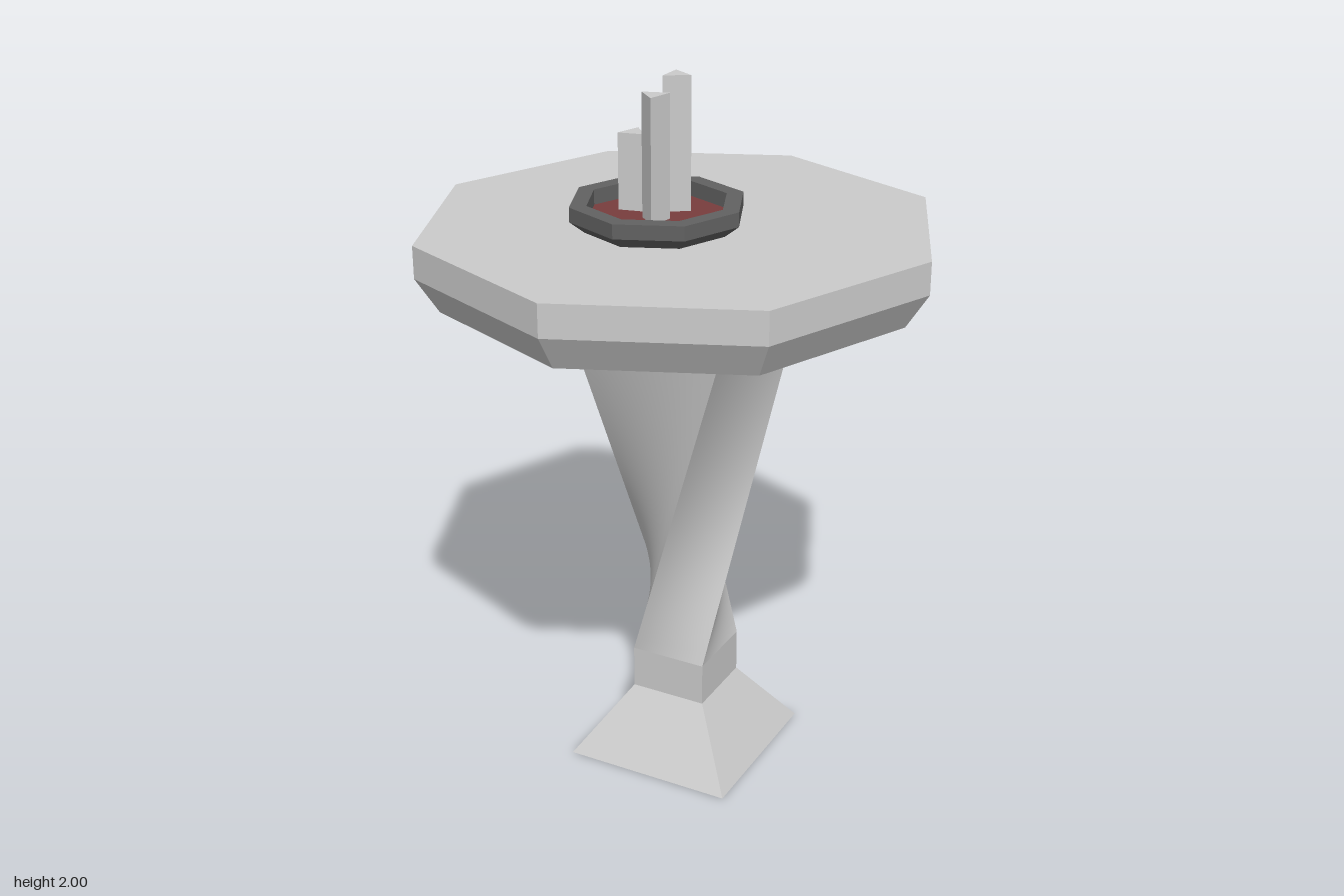
import * as THREE from 'three';

const material = (color, flatShading = true) =>
  new THREE.MeshStandardMaterial({ color, flatShading, side: THREE.DoubleSide });

// Four-sided hollow tube whose corners run straight from y0 to y1;
// with twist, each corner ends one corner further round.
function squareTube(name, y0, half0, y1, half1, twist, mat) {
  const tube = new THREE.Group();
  tube.name = name;
  for (let side = 0; side < 4; side++) {
    const geo = new THREE.PlaneGeometry(1, 1, twist ? 10 : 1, twist ? 30 : 1);
    const pos = geo.attributes.position;
    for (let i = 0; i < pos.count; i++) {
      const s = 2 * pos.getX(i);
      const v = pos.getY(i) + 0.5;
      const topX = twist ? half1 : s * half1;
      const topZ = twist ? -s * half1 : half1;
      pos.setXYZ(i,
        THREE.MathUtils.lerp(s * half0, topX, v),
        THREE.MathUtils.lerp(y0, y1, v),
        THREE.MathUtils.lerp(half0, topZ, v));
    }
    geo.rotateY(side * Math.PI / 2);
    geo.computeVertexNormals();
    tube.add(new THREE.Mesh(geo, mat));
  }
  return tube;
}

// Eight-sided turned part from [radius, height] pairs
function octagon(name, profile, mat) {
  const points = profile.map(([r, y]) => new THREE.Vector2(r, y));
  const mesh = new THREE.Mesh(new THREE.LatheGeometry(points, 8), mat);
  mesh.name = name;
  return mesh;
}

export function createModel() {
  const model = new THREE.Group();
  model.name = 'pedestalTable';
  const grey = material(0xcccccc);
  const smoothGrey = material(0xcccccc, false);
  const dark = material(0x626262);
  const red = material(0x783d3d);

  // Pedestal: flared foot, straight neck, twisted shaft
  const pedestal = new THREE.Group();
  pedestal.name = 'pedestal';
  pedestal.position.set(0.03, 0, 0.013);
  pedestal.add(
    squareTube('foot', 0, 0.248, 0.2, 0.112, false, grey),
    squareTube('neck', 0.2, 0.112, 0.325, 0.112, false, grey),
    squareTube('twistedShaft', 0.325, 0.112, 1.42, 0.248, true, smoothGrey));
  model.add(pedestal);

  // Table top with bevelled underside
  model.add(octagon('tableTop',
    [[0, 1.417], [0.655, 1.417], [0.717, 1.515], [0.717, 1.605], [0, 1.605]], grey));

  // Dish: dark rim around a recessed red floor
  const dish = new THREE.Group();
  dish.name = 'dish';
  dish.position.set(-0.03, 0, 0.065);
  dish.add(
    octagon('dishRim',
      [[0.2, 1.605], [0.24, 1.637], [0.24, 1.677], [0.193, 1.677], [0.193, 1.635]], dark),
    octagon('dishFloor', [[0.193, 1.635], [0, 1.635]], red));
  model.add(dish);

  // Three-sided candles: x, z, top height, turn in degrees
  const candles = [
    [-0.009, -0.005, 2.0, 90],
    [-0.112, 0.043, 1.845, 72],
    [-0.014, 0.11, 1.97, 137],
  ];
  for (const [x, z, top, turn] of candles) {
    const height = top - 1.635;
    const candle = new THREE.Mesh(new THREE.CylinderGeometry(0.043, 0.043, height, 3), grey);
    candle.name = 'candle';
    candle.position.set(x, 1.635 + height / 2, z);
    candle.rotation.y = THREE.MathUtils.degToRad(turn);
    model.add(candle);
  }
  return model;
}
